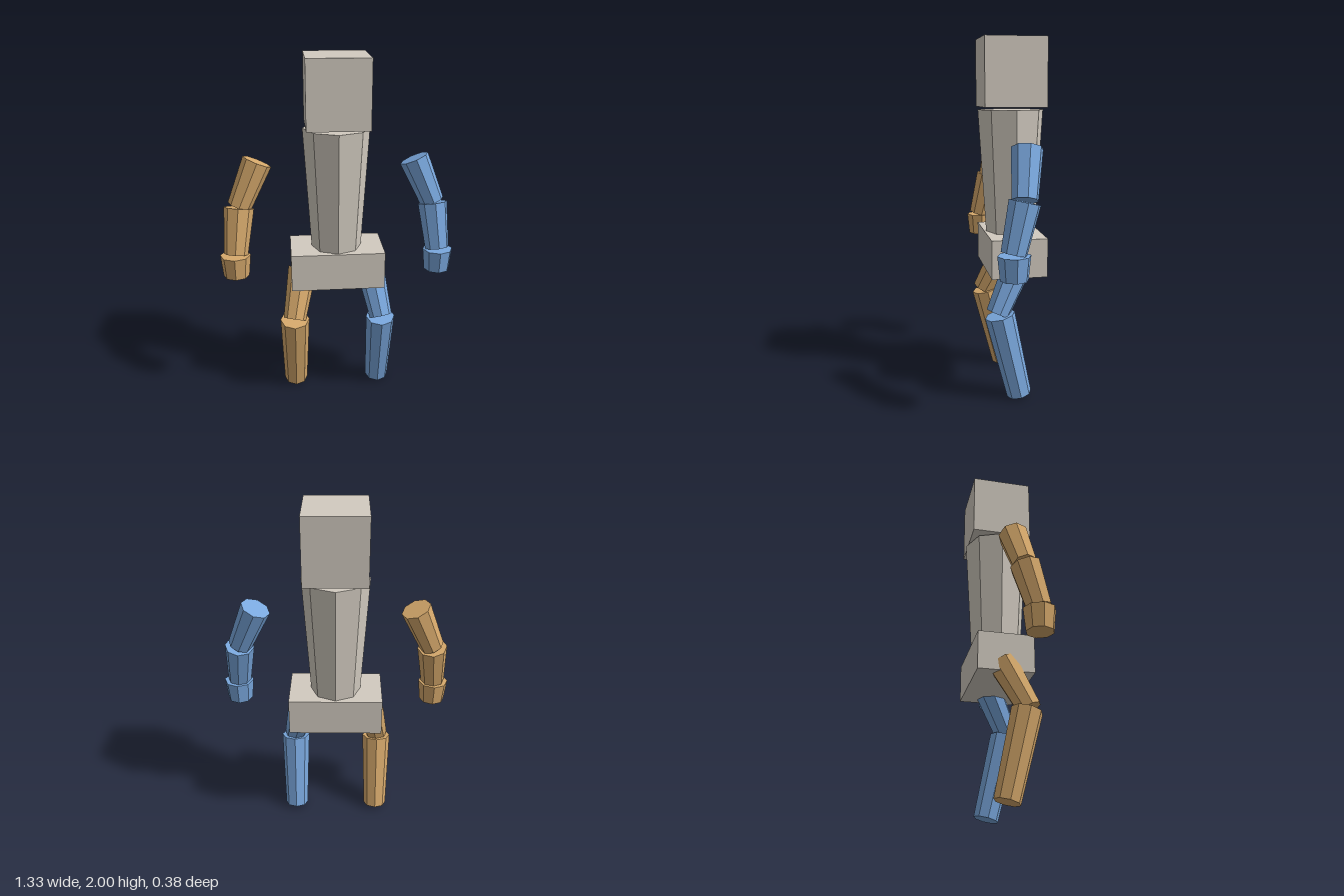
import * as THREE from 'three';

const material = (name, color) => {
  const m = new THREE.MeshStandardMaterial({ color, flatShading: true });
  m.name = name;
  return m;
};

export function createModel() {
  const group = new THREE.Group();
  const stone = material('warmGrey', 0xd2cbc0);
  const blue = material('blue', 0x7aa8de);
  const tan = material('tan', 0xd6a96c);
  const UP = new THREE.Vector3(0, 1, 0);

  const add = (name, geometry, mat, x, y, z) => {
    const mesh = new THREE.Mesh(geometry, mat);
    mesh.name = name;
    mesh.position.set(x, y, z);
    group.add(mesh);
    return mesh;
  };

  // Tapered eight-sided segment between the centres of its two ends
  const segment = (name, mat, top, bottom, rTop, rBottom) => {
    const a = new THREE.Vector3(...top);
    const b = new THREE.Vector3(...bottom);
    const axis = a.clone().sub(b);
    const mid = a.clone().add(b).multiplyScalar(0.5);
    const geometry = new THREE.CylinderGeometry(rTop, rBottom, axis.length(), 8);
    const mesh = add(name, geometry, mat, mid.x, mid.y, mid.z);
    mesh.quaternion.setFromUnitVectors(UP, axis.normalize());
  };

  // Head, torso and pelvis
  add('head', new THREE.BoxGeometry(0.344, 0.375, 0.344), stone, 0, 1.8125, -0.003);
  segment('torso', stone, [0, 1.61, -0.003], [0, 0.9, -0.003], 0.187, 0.143);
  add('pelvis', new THREE.BoxGeometry(0.534, 0.217, 0.312), stone, 0, 0.808, -0.004);

  // Limbs: name, top centre, bottom centre, top radius, bottom radius
  const limbs = [
    ['UpperArm', [0.439, 1.428, -0.003], [0.547, 1.18, 0.03], 0.084, 0.068],
    ['Forearm', [0.55, 1.173, 0.031], [0.576, 0.918, 0.092], 0.084, 0.068],
    ['Hand', [0.58, 0.911, 0.09], [0.58, 0.785, 0.09], 0.086, 0.073],
    ['Thigh', [0.2, 0.77, -0.01], [0.255, 0.5, 0.12], 0.084, 0.066],
    ['Shin', [0.254, 0.491, 0.106], [0.254, 0.018, -0.003], 0.085, 0.07],
  ];
  for (const [side, sign, mat] of [['left', 1, blue], ['right', -1, tan]]) {
    for (const [name, top, bottom, rTop, rBottom] of limbs) {
      const mirror = ([x, y, z]) => [x * sign, y, z];
      segment(side + name, mat, mirror(top), mirror(bottom), rTop, rBottom);
    }
  }
  return group;
}
